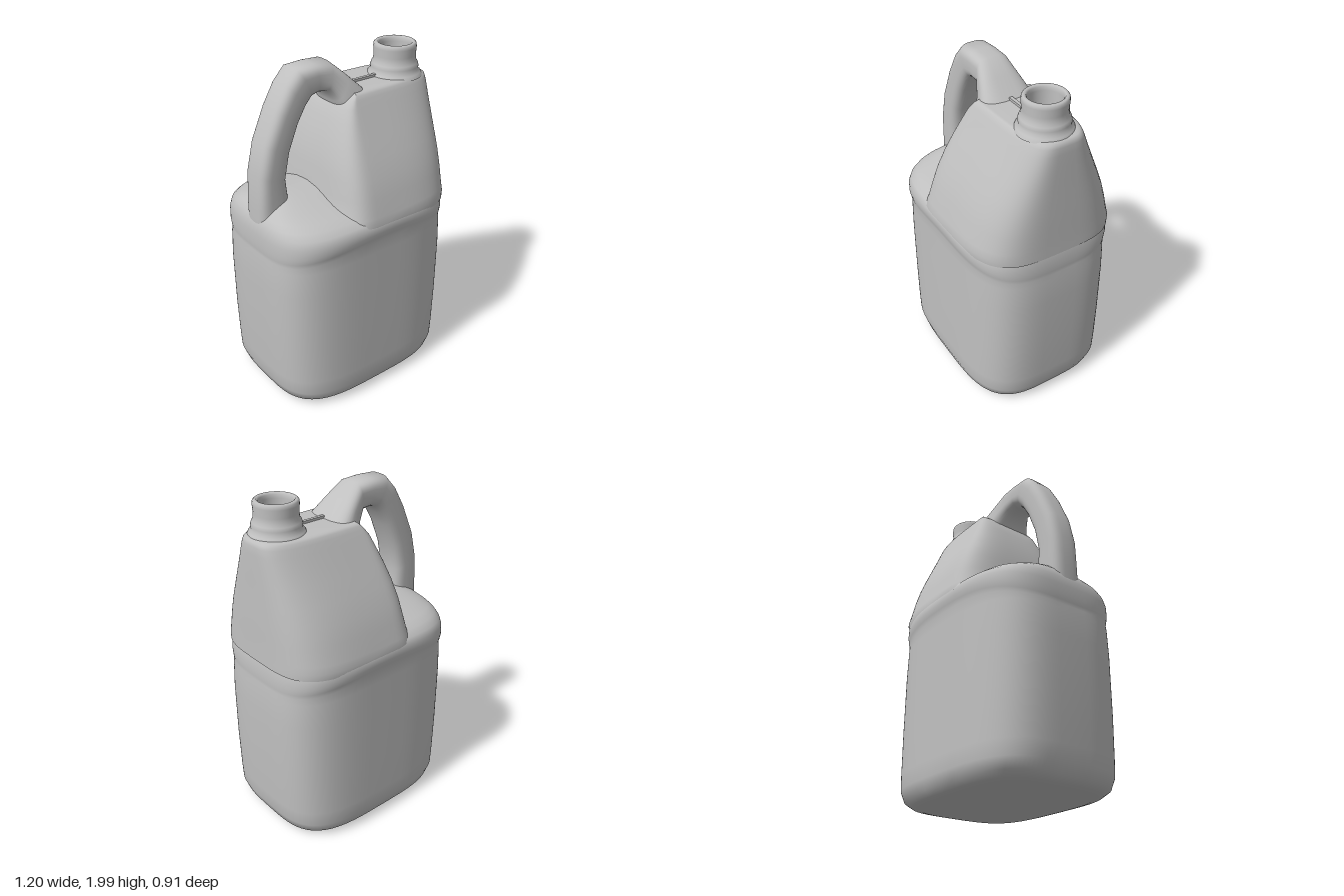
import * as THREE from 'three';

const SEG = 96;

// Superellipse direction at angle t: n = 2 is round, higher is squarer
function squircle(t, n) {
  const c = Math.cos(t), s = Math.sin(t);
  return [Math.sign(c) * Math.abs(c) ** (2 / n), Math.sign(s) * Math.abs(s) ** (2 / n)];
}

// Skin a stack of closed rings with smooth normals
function loft(rings) {
  const pos = [], idx = [], m = rings[0].length;
  rings.forEach(r => r.forEach(p => pos.push(...p)));
  for (let i = 0; i < rings.length - 1; i++) {
    for (let j = 0; j < m; j++) {
      const k = (j + 1) % m;
      const a = i * m + j, b = i * m + k, c = a + m, d = b + m;
      idx.push(a, c, b, b, c, d);
    }
  }
  const g = new THREE.BufferGeometry();
  g.setAttribute('position', new THREE.Float32BufferAttribute(pos, 3));
  g.setIndex(idx);
  g.computeVertexNormals();
  return g;
}

// Horizontal body rings: rows of [y, left extent, right extent, half depth]
function bodyLoft(rows, n, bend) {
  return loft(rows.map(([y, l, r, d]) => Array.from({ length: SEG }, (_, j) => {
    const [c, s] = squircle(j / SEG * Math.PI * 2, n);
    const x = c * (c > 0 ? r : l);
    return [x, y - bend(x, y), s * d];
  })));
}

export function createModel() {
  const group = new THREE.Group();
  const plastic = new THREE.MeshStandardMaterial({ color: 0xc0c0c0 });
  plastic.name = 'grey plastic';
  const add = (name, geometry) => {
    const mesh = new THREE.Mesh(geometry, plastic);
    mesh.name = name;
    group.add(mesh);
    return mesh;
  };

  // Lower tank with recessed label panel, arched ledge and domed shelf under the handle
  add('lowerBody', bodyLoft([
    [0.02, 0, 0, 0],
    [0.012, 0.3, 0.3, 0.22],
    [0.008, 0.47, 0.47, 0.36],
    [0.02, 0.52, 0.52, 0.4],
    [0.05, 0.56, 0.56, 0.435],
    [0.11, 0.583, 0.583, 0.452],
    [0.2, 0.588, 0.588, 0.453],
    [0.45, 0.598, 0.598, 0.45],
    [0.8, 0.602, 0.602, 0.446],
    [0.98, 0.596, 0.596, 0.443],
    [1.05, 0.59, 0.59, 0.443],
    [1.08, 0.592, 0.592, 0.45],
    [1.11, 0.594, 0.592, 0.457],
    [1.15, 0.592, 0.588, 0.456],
    [1.18, 0.585, 0.575, 0.438],
    [1.205, 0.57, 0.56, 0.4],
    [1.225, 0.55, 0.54, 0.35],
    [1.25, 0.52, 0.5, 0.26],
    [1.28, 0.47, 0.45, 0.17],
    [1.3, 0.42, 0.4, 0.1],
    [1.31, 0.38, 0.35, 0],
  ], 3.6, (x, y) => 0.2 * x * x * Math.exp(-(((y - 1.08) / 0.1) ** 2))));

  // Upper tank, tapering to the shoulder and set back behind the handle opening
  add('upperBody', bodyLoft([
    [1.12, 0.27, 0.59, 0.452],
    [1.16, 0.26, 0.589, 0.456],
    [1.2, 0.235, 0.588, 0.443],
    [1.3, 0.215, 0.587, 0.415],
    [1.4, 0.2, 0.586, 0.38],
    [1.5, 0.178, 0.584, 0.335],
    [1.6, 0.145, 0.583, 0.286],
    [1.68, 0.112, 0.582, 0.246],
    [1.75, 0.08, 0.581, 0.212],
    [1.79, 0.045, 0.579, 0.192],
    [1.81, 0.02, 0.573, 0.181],
    [1.82, 0, 0.56, 0.17],
    [1.823, 0, 0.54, 0.155],
    [1.824, 0, 0.3, 0.08],
    [1.824, 0, 0, 0],
  ], 3.8, () => 0));

  // Handle swept over the opening, flaring into the shoulder:
  // [outer x, outer y, inner x, inner y, half width]
  const stations = [
    [-0.58, 1.12, -0.36, 1.15, 0.1],
    [-0.58, 1.25, -0.385, 1.28, 0.097],
    [-0.57, 1.45, -0.4, 1.4, 0.097],
    [-0.53, 1.62, -0.37, 1.55, 0.097],
    [-0.45, 1.8, -0.31, 1.7, 0.097],
    [-0.38, 1.92, -0.26, 1.785, 0.097],
    [-0.31, 1.995, -0.22, 1.83, 0.097],
    [-0.2, 2.0, -0.18, 1.842, 0.097],
    [-0.095, 1.995, -0.12, 1.832, 0.097],
    [0, 1.915, -0.08, 1.77, 0.128],
    [0.09, 1.832, -0.06, 1.68, 0.165],
    [0.16, 1.77, 0, 1.6, 0.17],
  ];
  add('handle', loft(stations.map(([ox, oy, ix, iy, w]) =>
    Array.from({ length: 40 }, (_, j) => {
      const [c, s] = squircle(j / 40 * Math.PI * 2, 3.2);
      return [
        (ox + ix) / 2 + c * (ox - ix) / 2,
        (oy + iy) / 2 + c * (oy - iy) / 2,
        0.01 - s * w,
      ];
    }))));

  // Open neck with collar, rim and inner wall
  const neck = [
    [0.16, 1.81], [0.15, 1.832], [0.136, 1.845], [0.138, 1.865], [0.132, 1.885],
    [0.122, 1.9], [0.12, 1.93], [0.123, 1.975], [0.121, 1.992], [0.113, 2.0],
    [0.1, 2.0], [0.093, 1.99], [0.091, 1.97], [0.091, 1.87], [0.088, 1.86], [0, 1.86],
  ].map(([r, y]) => new THREE.Vector2(r, y));
  add('neck', new THREE.LatheGeometry(neck, 40)).position.set(0.403, 0, 0.016);

  // Moulding seam between handle and neck
  add('shoulderSeam', new THREE.BoxGeometry(0.19, 0.03, 0.02)).position.set(0.185, 1.823, 0.016);

  return group;
}
